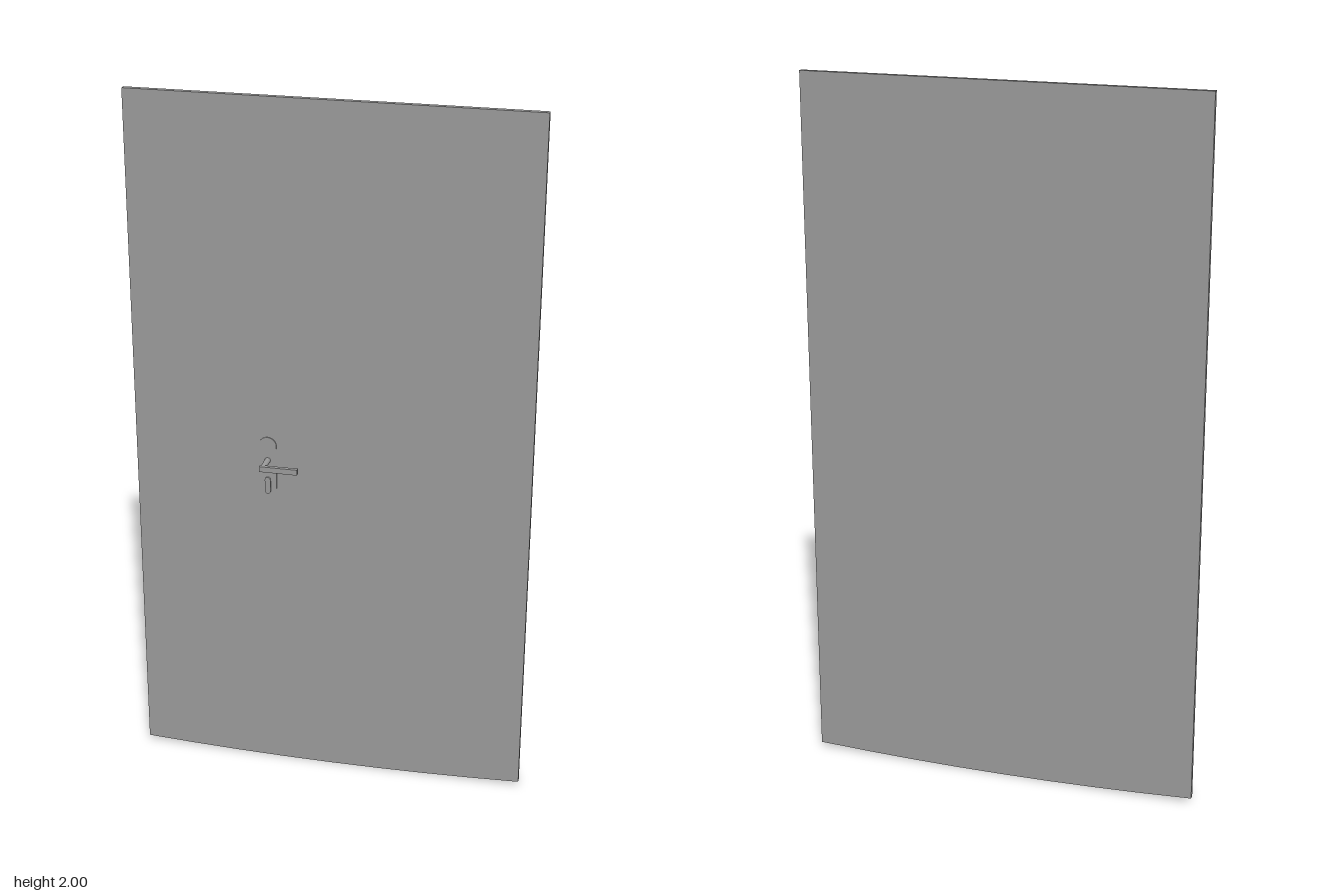
import * as THREE from 'three';

export function createModel() {
  const group = new THREE.Group();
  const grey = new THREE.MeshStandardMaterial({ color: 0x999999 });
  grey.name = 'grey';

  function add(name, geometry, x, y, z) {
    const mesh = new THREE.Mesh(geometry, grey);
    mesh.name = name;
    mesh.position.set(x, y, z);
    group.add(mesh);
    return mesh;
  }
  const extrude = (shape, depth) =>
    new THREE.ExtrudeGeometry(shape, { depth, bevelEnabled: false, curveSegments: 12 });

  // Upright pill outline centred on the origin
  function pill(width, height) {
    const r = width / 2, h = height / 2 - r;
    const s = new THREE.Shape();
    s.absarc(0, h, r, 0, Math.PI, false);
    s.absarc(0, -h, r, Math.PI, Math.PI * 2, false);
    s.closePath();
    return s;
  }

  // Door panel with a slightly bowed lower edge
  const half = 0.56, sag = 0.015, steps = 8;
  const outline = new THREE.Shape();
  outline.moveTo(half, 2);
  outline.lineTo(-half, 2);
  for (let i = 0; i <= steps; i++) {
    const t = (2 * i) / steps - 1;
    outline.lineTo(half * t, sag * t * t);
  }
  outline.closePath();
  add('doorPanel', extrude(outline, 0.015), 0, 0, -0.042);

  // Handle plate and key cylinder
  const hx = -0.179, front = -0.027;
  add('handlePlate', extrude(pill(0.05, 0.175), 0.003), hx, 0.9525, front);
  add('keyCylinder', extrude(pill(0.016, 0.05), 0.008), hx, 0.895, front);

  // Stem and lever
  const stem = add('handleStem', new THREE.CylinderGeometry(0.008, 0.008, 0.06, 20), hx, 0.971, 0.003);
  stem.rotation.x = Math.PI / 2;
  add('handleLever', new THREE.BoxGeometry(0.107, 0.016, 0.011), -0.1335, 0.971, 0.0335);

  return group;
}
